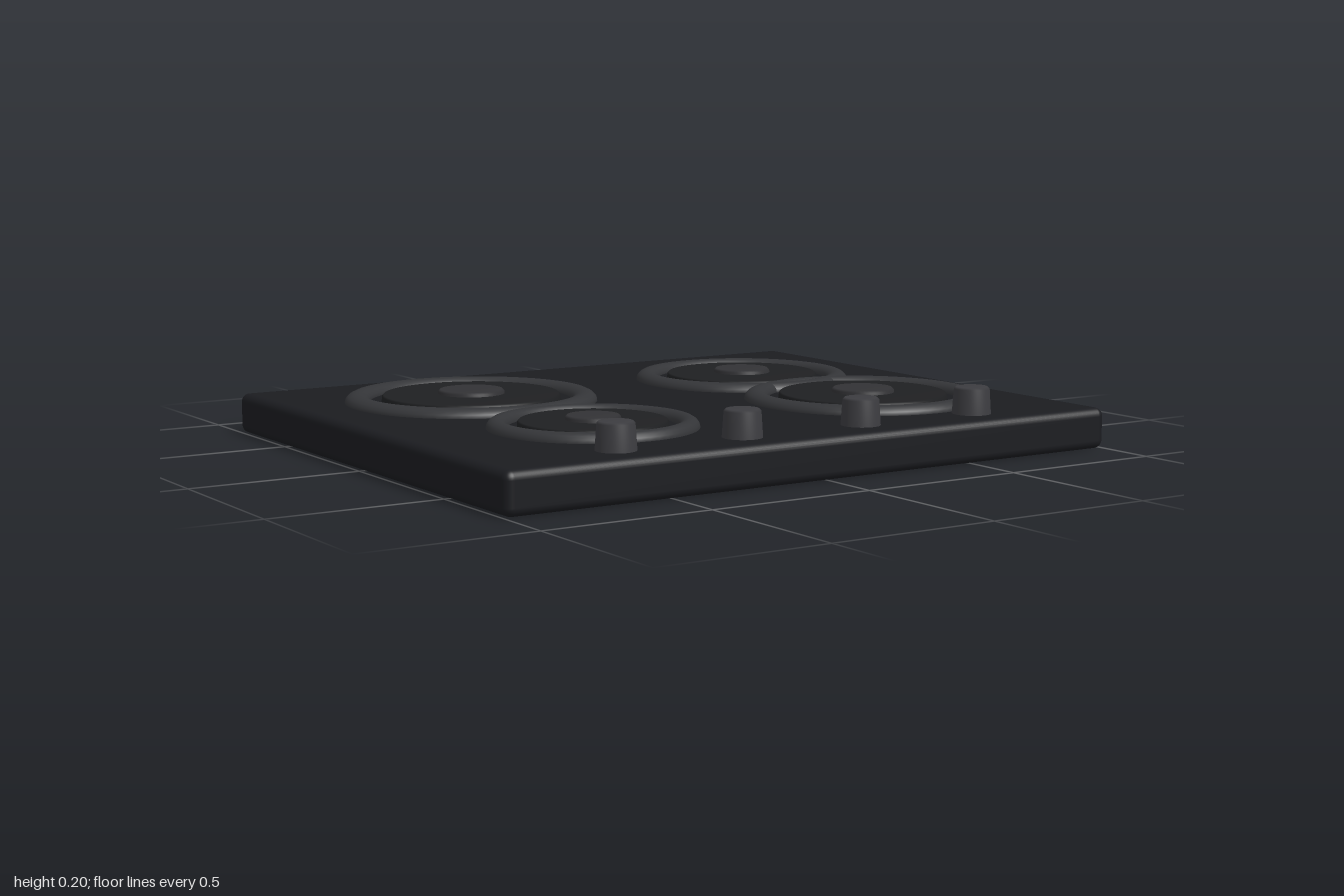
import * as THREE from 'three';
import { RoundedBoxGeometry } from 'three/addons/geometries/RoundedBoxGeometry.js';

const TOP = 0.12; // height of the glass surface

const paint = (color) => new THREE.MeshStandardMaterial({ color });
const bodyMat = paint(0x1b1c20);
const ringMat = paint(0x343538);
const plateMat = paint(0x1f2022);
const capMat = paint(0x323235);
const knobMat = paint(0x3c3c40);

function add(parent, name, geometry, material, x = 0, y = 0, z = 0) {
  const mesh = new THREE.Mesh(geometry, material);
  mesh.name = name;
  mesh.position.set(x, y, z);
  parent.add(mesh);
  return mesh;
}

// Softly shaded disc, tapering from its base radius to its top radius
function disc(baseRadius, topRadius, height) {
  const bevel = Math.min(0.006, height * 0.2);
  const profile = [
    [baseRadius, 0], [topRadius, height - bevel], [topRadius - bevel, height], [0, height],
  ].map(([r, y]) => new THREE.Vector2(r, y));
  return new THREE.LatheGeometry(profile, 48);
}

// Burner: flattened outer ring, hot plate and raised centre cap
function createBurner(name, x, z, radius) {
  const burner = new THREE.Group();
  burner.name = name;
  burner.position.set(x, TOP, z);
  const ring = new THREE.TorusGeometry(radius * 0.9, radius * 0.1, 16, 64);
  ring.rotateX(Math.PI / 2);
  ring.scale(1, 0.027 / (radius * 0.1), 1);
  add(burner, 'burnerRing', ring, ringMat);
  add(burner, 'burnerPlate', disc(radius * 0.71, radius * 0.705, 0.022), plateMat);
  add(burner, 'burnerCap', disc(radius * 0.267, radius * 0.262, 0.035), capMat);
  return burner;
}

export function createModel() {
  const cooktop = new THREE.Group();
  cooktop.name = 'cooktop';

  // Slab with softened edges
  add(cooktop, 'body', new RoundedBoxGeometry(2, TOP, 1.66, 4, 0.025), bodyMat, 0, TOP / 2, 0);

  // Four burners of different sizes
  for (const [name, x, z, radius] of [
    ['backRightBurner', -0.48, -0.31, 0.375],
    ['backLeftBurner', 0.475, -0.275, 0.335],
    ['frontRightBurner', -0.445, 0.33, 0.297],
    ['frontLeftBurner', 0.52, 0.295, 0.355],
  ]) cooktop.add(createBurner(name, x, z, radius));

  // Row of control knobs along the front
  for (const x of [-0.6, -0.2, 0.2, 0.6]) {
    add(cooktop, 'knob', disc(0.056, 0.051, 0.078), knobMat, x, TOP, 0.7);
  }
  return cooktop;
}
